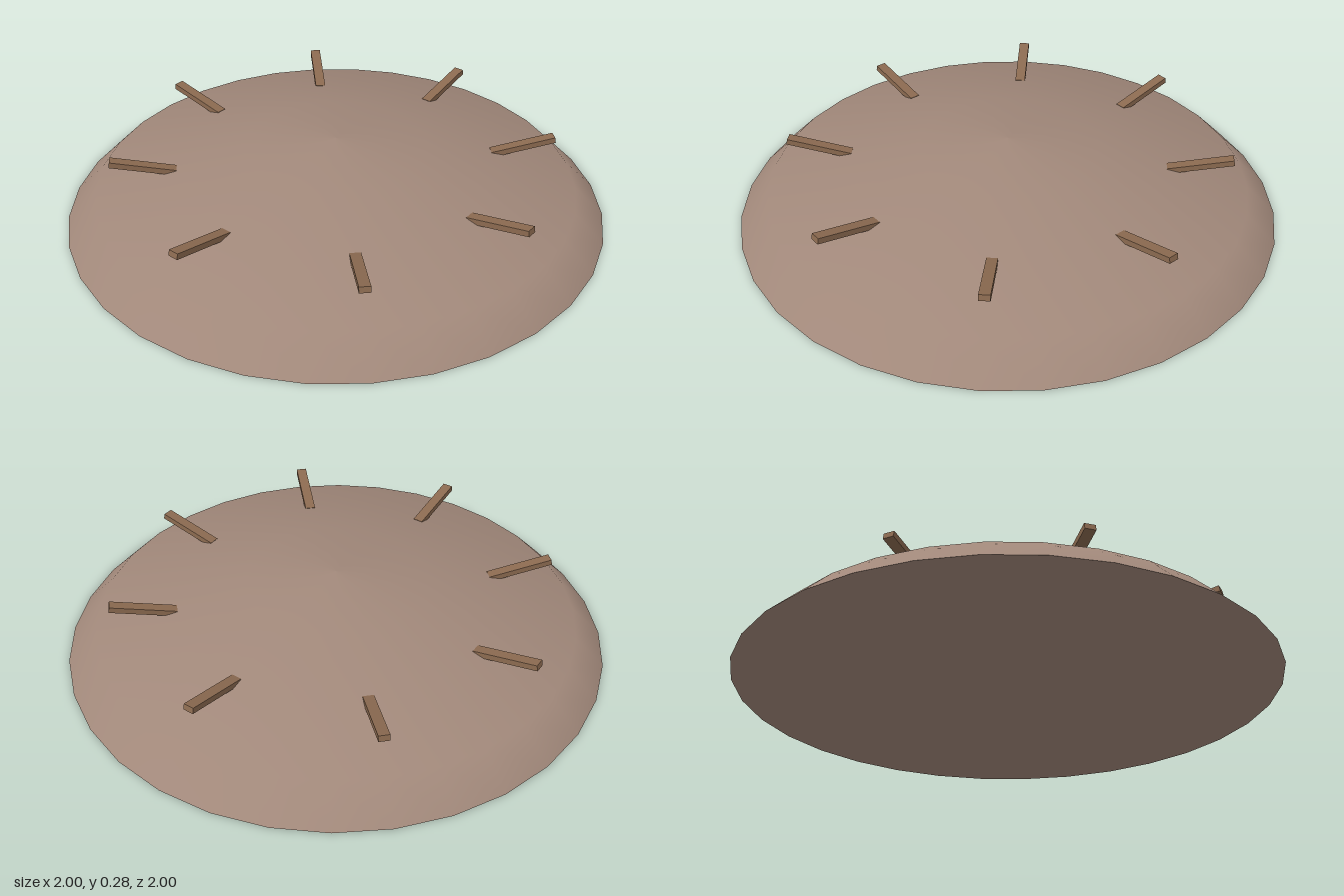
import * as THREE from 'three';

export function createModel() {
  const model = new THREE.Group();
  const clay = new THREE.MeshStandardMaterial({ color: 0xa1887a, side: THREE.DoubleSide });
  clay.name = 'pale clay brown';
  const wood = new THREE.MeshStandardMaterial({ color: 0x8b6a50 });
  wood.name = 'wood brown';

  // Low dome, smooth around a stepped profile
  const profile = [[1, 0], [0.889, 0.11], [0.335, 0.248], [0, 0.277]]
    .map(([r, y]) => new THREE.Vector2(r, y));
  const dome = new THREE.Mesh(new THREE.LatheGeometry(profile, 32), clay);
  dome.name = 'dome';
  model.add(dome);

  // Flat underside
  const base = new THREE.Mesh(new THREE.CircleGeometry(1, 32).rotateX(Math.PI / 2), clay);
  base.name = 'base';
  model.add(base);

  // Ring of eight pegs, tilted up towards the outside
  const pegGeometry = new THREE.BoxGeometry(0.039, 0.022, 0.244)
    .rotateX(-0.2)
    .translate(0, 0.2, 0.709);
  const pegs = new THREE.Group();
  pegs.name = 'pegs';
  for (let i = 0; i < 8; i++) {
    const peg = new THREE.Mesh(pegGeometry, wood);
    peg.name = 'peg';
    peg.rotation.y = (i * Math.PI) / 4;
    pegs.add(peg);
  }
  model.add(pegs);
  return model;
}
